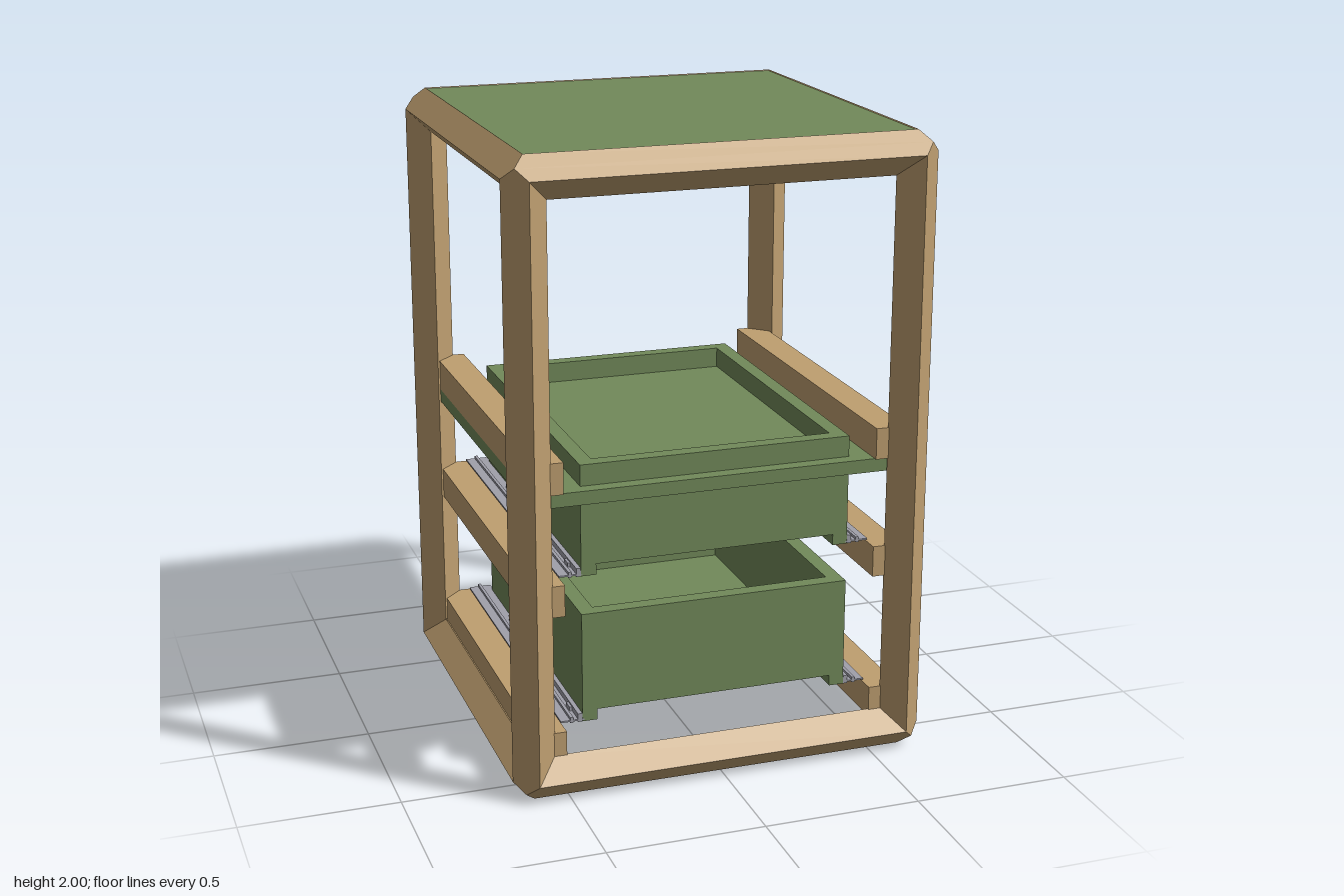
import * as THREE from 'three';

const wood = new THREE.MeshStandardMaterial({ color: 0xbf9f70 });
const green = new THREE.MeshStandardMaterial({ color: 0x728a5a });
const metal = new THREE.MeshStandardMaterial({ color: 0xa0a0aa });

// box given by its minimum and maximum on each axis
function box(parent, name, mat, [x0, x1], [y0, y1], [z0, z1]) {
  const mesh = new THREE.Mesh(new THREE.BoxGeometry(x1 - x0, y1 - y0, z1 - z0), mat);
  mesh.position.set((x0 + x1) / 2, (y0 + y1) / 2, (z0 + z1) / 2);
  mesh.name = name;
  parent.add(mesh);
  return mesh;
}

// same box on both sides of x = 0
function pair(parent, name, mat, [x0, x1], y, z) {
  box(parent, name + 'Left', mat, [x0, x1], y, z);
  box(parent, name + 'Right', mat, [-x1, -x0], y, z);
}

const R = 0.0675;                       // half diagonal of a frame bar
const HALF = [0.6075, 0.9325, 0.6075];  // bar centre lines
// diamond section; third number is how far each corner runs into the mitre
const SECTION = [[1, 0, 0], [0.5, 0.5, 0.5], [0, 1, 0], [-1, 0, -1], [0, -1, -1]];

// mitred diamond bar along one axis, on the edge picked by signs sa, sb
function frameBar(axis, sa, sb) {
  const a = (axis + 1) % 3, b = (axis + 2) % 3;
  const point = ([u, v, k], end) => {
    const p = [0, 0, 0];
    p[axis] = end * (HALF[axis] + k * R);
    p[a] = sa * (HALF[a] + u * R);
    p[b] = sb * (HALF[b] + v * R);
    p[1] += 1;
    return p;
  };
  const pos = [];
  SECTION.forEach((s, i) => {
    const n = SECTION[(i + 1) % SECTION.length];
    const q = [point(s, -1), point(n, -1), point(n, 1), point(s, 1)];
    if (sa * sb < 0) q.reverse();
    for (const c of [0, 1, 2, 0, 2, 3]) pos.push(...q[c]);
  });
  const geo = new THREE.BufferGeometry();
  geo.setAttribute('position', new THREE.Float32BufferAttribute(pos, 3));
  geo.computeVertexNormals();
  return new THREE.Mesh(geo, wood);
}

// open drawer; y0 is the underside of its runners
function drawer(name, y0) {
  const g = new THREE.Group();
  g.name = name;
  const X = 0.435, Z = 0.555, T = 0.048;
  const floor = y0 + 0.035, top = y0 + 0.355;
  const wall = [floor, top];
  for (const [z0, z1, end] of [[Z - T, Z, 'Front'], [-Z, -Z + T, 'Back']]) {
    box(g, 'drawer' + end, green, [-X + T, X - T], wall, [z0, z1]);
    pair(g, 'drawerCorner' + end, green, [X - T, X], wall, [z0, z1]);
  }
  pair(g, 'drawerSide', green, [X - T, X], wall, [-Z + T, Z - T]);
  box(g, 'drawerBottom', green, [-X + T, X - T], [floor, floor + 0.02], [-Z + T, Z - T]);
  pair(g, 'drawerRunner', green, [X - T, X], [y0, floor], [-Z, Z]);

  // metal slides carried by the side rails
  pair(g, 'slidePlate', metal, [0.43, 0.505], [y0 + 0.004, y0 + 0.009], [-0.6, 0.555]);
  pair(g, 'slideChannel', metal, [0.436, 0.45], [y0, y0 + 0.027], [-0.27, 0.555]);
  pair(g, 'slideTrack', metal, [0.465, 0.475], [y0, y0 + 0.018], [-0.6, 0.555]);
  for (const z of [0.47, 0.27, 0.06, -0.01, -0.09])
    pair(g, 'slideLug', metal, [0.45, 0.458], [y0 + 0.008, y0 + 0.022], [z - 0.02, z + 0.02]);
  return g;
}

export function createModel() {
  const model = new THREE.Group();
  model.name = 'drawerCabinet';

  // twelve frame bars
  const frame = new THREE.Group();
  frame.name = 'frame';
  ['crossBar', 'post', 'sideBar'].forEach((label, axis) => {
    for (const sa of [-1, 1]) for (const sb of [-1, 1]) {
      const bar = frameBar(axis, sa, sb);
      bar.name = label;
      frame.add(bar);
    }
  });
  model.add(frame);

  // top panel and inner shelf
  box(model, 'topPanel', green, [-0.604, 0.604], [1.965, 1.997], [-0.604, 0.604]);
  box(model, 'shelf', green, [-0.6, 0.6], [0.935, 0.978], [-0.6, 0.6]);

  // side rails at three heights
  for (const y of [0.11, 0.59, 0.978])
    pair(model, 'sideRail', wood, [0.502, 0.6], [y, y + 0.1], [-0.61, 0.61]);

  model.add(drawer('lowerDrawer', 0.21), drawer('upperDrawer', 0.69));
  return model;
}
